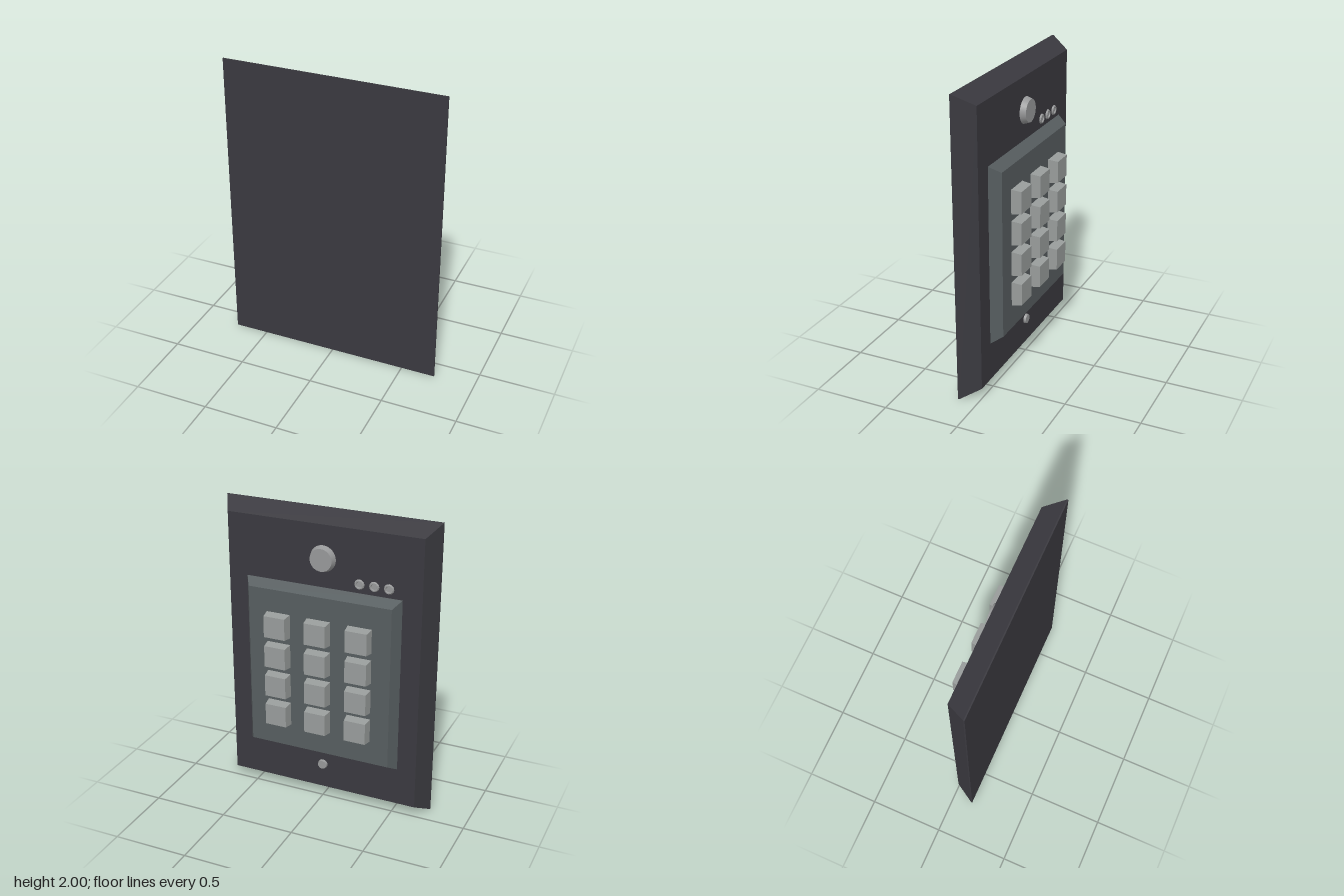
import * as THREE from 'three';

const mat = (name, color) => Object.assign(new THREE.MeshStandardMaterial({ color }), { name });

// Box tapering towards -z: base (w0 x h0) at z0, face (w1 x h1) at z1
function taperedBlock(w0, h0, w1, h1, z0, z1) {
  const g = new THREE.BoxGeometry(1, 1, 1).toNonIndexed();
  const p = g.attributes.position;
  for (let i = 0; i < p.count; i++) {
    const base = p.getZ(i) > 0;
    p.setXYZ(i, p.getX(i) * (base ? w0 : w1), p.getY(i) * (base ? h0 : h1), base ? z0 : z1);
  }
  g.computeVertexNormals();
  return g;
}

// Round stud standing on z = 0 and pointing to -z
function stud(r0, r1, depth, sides) {
  return new THREE.CylinderGeometry(r1, r0, depth, sides).rotateX(-Math.PI / 2).translate(0, 0, -depth / 2);
}

export function createModel() {
  const model = new THREE.Group();
  model.name = 'keypad';
  const dark = mat('dark casing', 0x3a393f);
  const slate = mat('slate panel', 0x565d5f);
  const grey = mat('key grey', 0x989c9b);
  const metal = mat('metal grey', 0x979899);

  const add = (name, geometry, material, x, y, parent = model) => {
    const m = new THREE.Mesh(geometry, material);
    m.name = name;
    m.position.set(x, y, 0);
    parent.add(m);
  };

  // Wall plate with a thin straight rim
  add('plateRim', taperedBlock(1.455, 2, 1.455, 2, 0.135, 0.127), dark, 0, 1);
  add('plate', taperedBlock(1.455, 2, 1.316, 1.86, 0.127, 0), dark, 0, 1);

  // Raised key panel
  add('keyPanel', taperedBlock(1.06, 1.19, 0.975, 1.105, 0, -0.07), slate, 0, 0.925);

  // Twelve keys
  const keys = new THREE.Group();
  keys.name = 'keys';
  model.add(keys);
  const keyGeometry = taperedBlock(0.162, 0.162, 0.146, 0.146, -0.07, -0.136);
  for (let row = 0; row < 4; row++) {
    for (let col = -1; col <= 1; col++) {
      add('key', keyGeometry, grey, col * 0.28, 1.243 - row * 0.209, keys);
    }
  }

  // Large button and lower screw
  add('button', stud(0.087, 0.074, 0.037, 32), metal, 0, 1.71);
  add('screw', stud(0.034, 0.03, 0.016, 16), metal, 0, 0.243);

  // Three indicator lamps: bevelled bezel with a shallow lens
  const bezel = new THREE.LatheGeometry(
    [[0.034, 0], [0.028, 0.01], [0.021, 0.01], [0.018, 0.004], [0, 0.004]].map(([r, y]) => new THREE.Vector2(r, y)), 12)
    .rotateX(-Math.PI / 2).toNonIndexed();
  bezel.computeVertexNormals();
  const lampMetal = metal.clone();
  lampMetal.side = THREE.DoubleSide;
  for (const x of [-0.44, -0.343, -0.245]) add('indicatorLamp', bezel, lampMetal, x, 1.578);

  return model;
}
